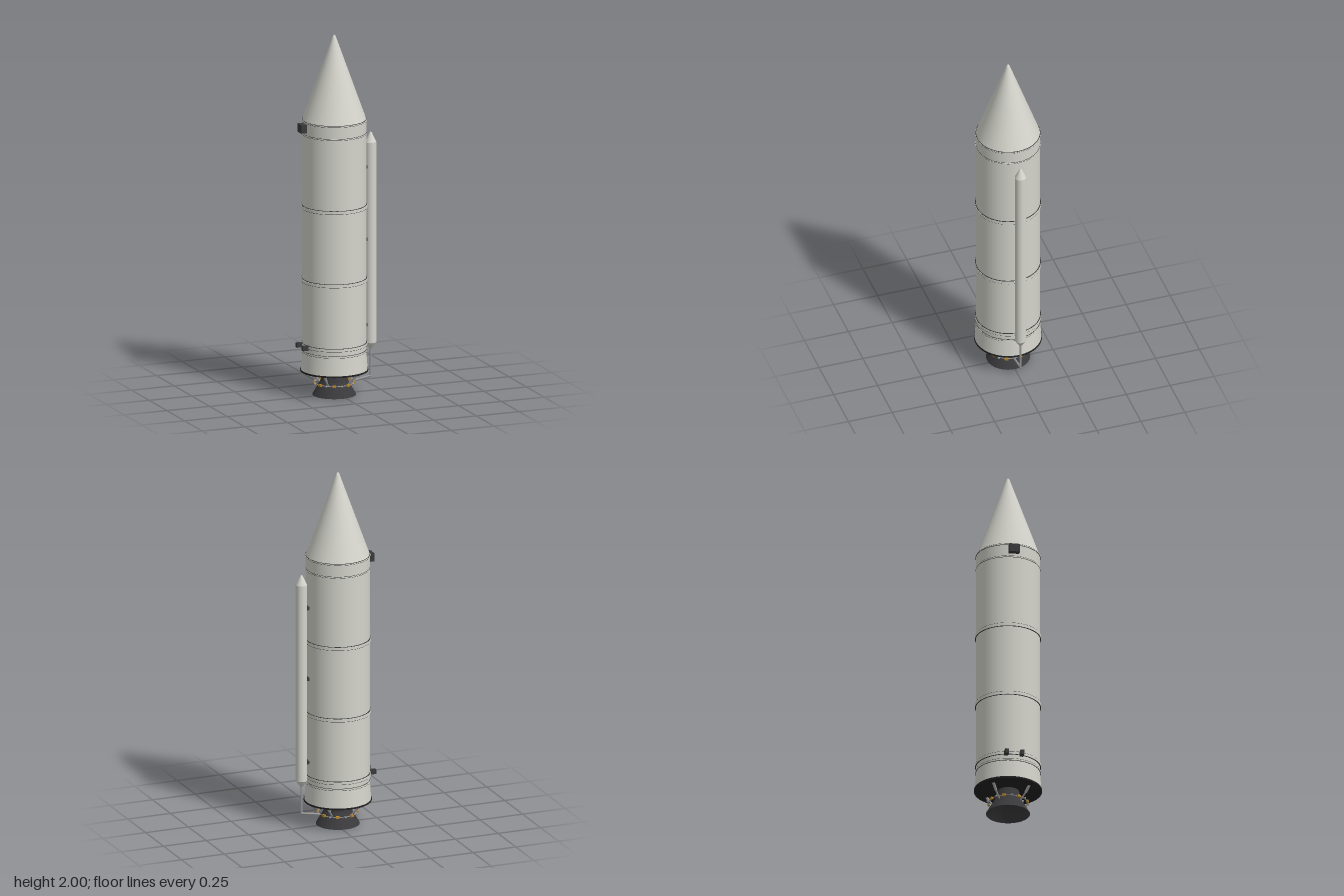
import * as THREE from 'three';

const AXIS_X = -0.021;
const R = 0.1735;

export function createModel() {
  const paint = (name, color) => {
    const m = new THREE.MeshStandardMaterial({ color });
    m.name = name;
    return m;
  };
  const white = paint('offWhite', 0xd4d4cc);
  const dark = paint('charcoal', 0x3a3a3c);
  const black = paint('black', 0x222224);
  const steel = paint('steel', 0x9a9a9a);
  const gold = paint('gold', 0xb8862b);
  dark.side = THREE.DoubleSide;

  const model = new THREE.Group();
  model.name = 'boosterRocket';
  const core = new THREE.Group();
  core.name = 'core';
  core.position.x = AXIS_X;
  model.add(core);

  const add = (parent, name, geometry, material, x = 0, y = 0, z = 0) => {
    const mesh = new THREE.Mesh(geometry, material);
    mesh.name = name;
    mesh.position.set(x, y, z);
    parent.add(mesh);
    return mesh;
  };
  const lathe = (points, segments = 64) =>
    new THREE.LatheGeometry(points.map(([r, y]) => new THREE.Vector2(r, y)), segments);
  const rod = (parent, name, a, b, r, material) => {
    const line = new THREE.LineCurve3(new THREE.Vector3(...a), new THREE.Vector3(...b));
    return add(parent, name, new THREE.TubeGeometry(line, 1, r, 8), material);
  };

  // Casing, flared skirt and nose
  add(core, 'casing', new THREE.CylinderGeometry(R, R, 1.295, 64), white, 0, 0.8825);
  add(core, 'aftSkirt', new THREE.CylinderGeometry(R, 0.181, 0.1, 64, 1, true), white, 0, 0.19);
  add(core, 'noseCone', lathe([[R, 1.53], [0.012, 1.982]]), white);
  add(core, 'noseTip', lathe([[0.012, 1.982], [0.0075, 1.993], [0.004, 1.998], [0, 2]], 32), white);
  add(core, 'basePlate', new THREE.CylinderGeometry(0.184, 0.184, 0.009, 64), black, 0, 0.1375);

  // Raised joint bands with thin dark seams along both edges
  const band = (y, h, r) => {
    add(core, 'jointBand', new THREE.CylinderGeometry(r, r, h, 64), white, 0, y);
    for (const s of [-1, 1]) {
      add(core, 'jointSeam', new THREE.CylinderGeometry(r - 0.001, r - 0.001, 0.002, 64), dark, 0, y + s * (h / 2 + 0.001));
    }
  };
  band(1.05, 0.016, 0.179);
  band(0.642, 0.016, 0.179);
  band(0.284, 0.014, 0.179);
  band(0.246, 0.008, 0.177);
  band(1.456, 0.005, 0.1755);
  band(1.529, 0.005, 0.1765);

  // Engine nozzle, open below
  add(core, 'nozzle', lathe([
    [0.119, 0], [0.105, 0.025], [0.09, 0.05], [0.077, 0.073], [0.074, 0.08],
  ]), dark);
  add(core, 'nozzleThroat', lathe([[0.074, 0.08], [0.07, 0.1], [0.062, 0.122], [0.06, 0.135]]), dark);
  add(core, 'nozzleInterior', lathe([[0.117, 0.001], [0.088, 0.048], [0.055, 0.085], [0, 0.095]]), dark);

  // Feed ring around the nozzle with gold valves
  const ring = add(core, 'feedRing', new THREE.TorusGeometry(0.105, 0.0025, 8, 48), steel, 0, 0.066);
  ring.rotation.x = Math.PI / 2;
  for (let i = 0; i < 8; i++) {
    const a = (i + 0.5) * Math.PI / 4;
    const valve = add(core, 'valve', new THREE.BoxGeometry(0.012, 0.012, 0.02), gold,
      Math.cos(a) * 0.107, 0.066, Math.sin(a) * 0.107);
    valve.rotation.y = -a;
    const b = i * Math.PI / 4;
    add(core, 'ringFitting', new THREE.SphereGeometry(0.006, 10, 8), steel,
      Math.cos(b) * 0.112, 0.066, Math.sin(b) * 0.112);
  }

  // Diagonal nozzle actuators
  for (let i = 0; i < 4; i++) {
    const c = Math.cos(Math.PI / 4 + i * Math.PI / 2), s = Math.sin(Math.PI / 4 + i * Math.PI / 2);
    rod(core, 'actuator', [c * 0.14, 0.135, s * 0.14], [c * 0.115, 0.098, s * 0.115], 0.008, steel);
    rod(core, 'actuatorRod', [c * 0.115, 0.098, s * 0.115], [c * 0.083, 0.062, s * 0.083], 0.005, steel);
  }

  // Slim side tank with pointed ends
  const tank = new THREE.Group();
  tank.name = 'sideTank';
  tank.position.x = 0.192;
  model.add(tank);
  const TR = 0.031;
  add(tank, 'tankBody', new THREE.CylinderGeometry(TR, TR, 1.115, 32, 1, true), white, 0, 0.8275);
  add(tank, 'tankNose', lathe([[TR, 1.385], [0.006, 1.437], [0, 1.442]], 32), white);
  add(tank, 'tankTail', lathe([[0, 0.232], [0.007, 0.234], [TR, 0.27]], 32), white);

  // Mounts between tank and casing
  for (const y of [1.25, 0.847, 0.372]) {
    for (const z of [-0.011, 0.011]) {
      add(model, 'tankMount', new THREE.BoxGeometry(0.022, 0.018, 0.012), dark, 0.158, y, z);
    }
  }

  // Feed pipe from the tank to the nozzle
  rod(model, 'feedPipeDown', [0.192, 0.24, 0], [0.192, 0.083, 0], 0.006, steel);
  add(model, 'feedPipeElbow', new THREE.SphereGeometry(0.0065, 12, 8), steel, 0.192, 0.083, 0);
  rod(model, 'feedPipeAcross', [0.192, 0.083, 0], [0.085, 0.064, 0], 0.006, steel);

  // Attachment blocks on the opposite side
  add(model, 'upperAttachment', new THREE.BoxGeometry(0.034, 0.046, 0.058), dark, -0.208, 1.497, 0);
  for (const z of [-0.042, 0.042]) {
    add(model, 'lowerAttachment', new THREE.BoxGeometry(0.038, 0.026, 0.021), dark, -0.206, 0.282, z);
  }
  return model;
}
